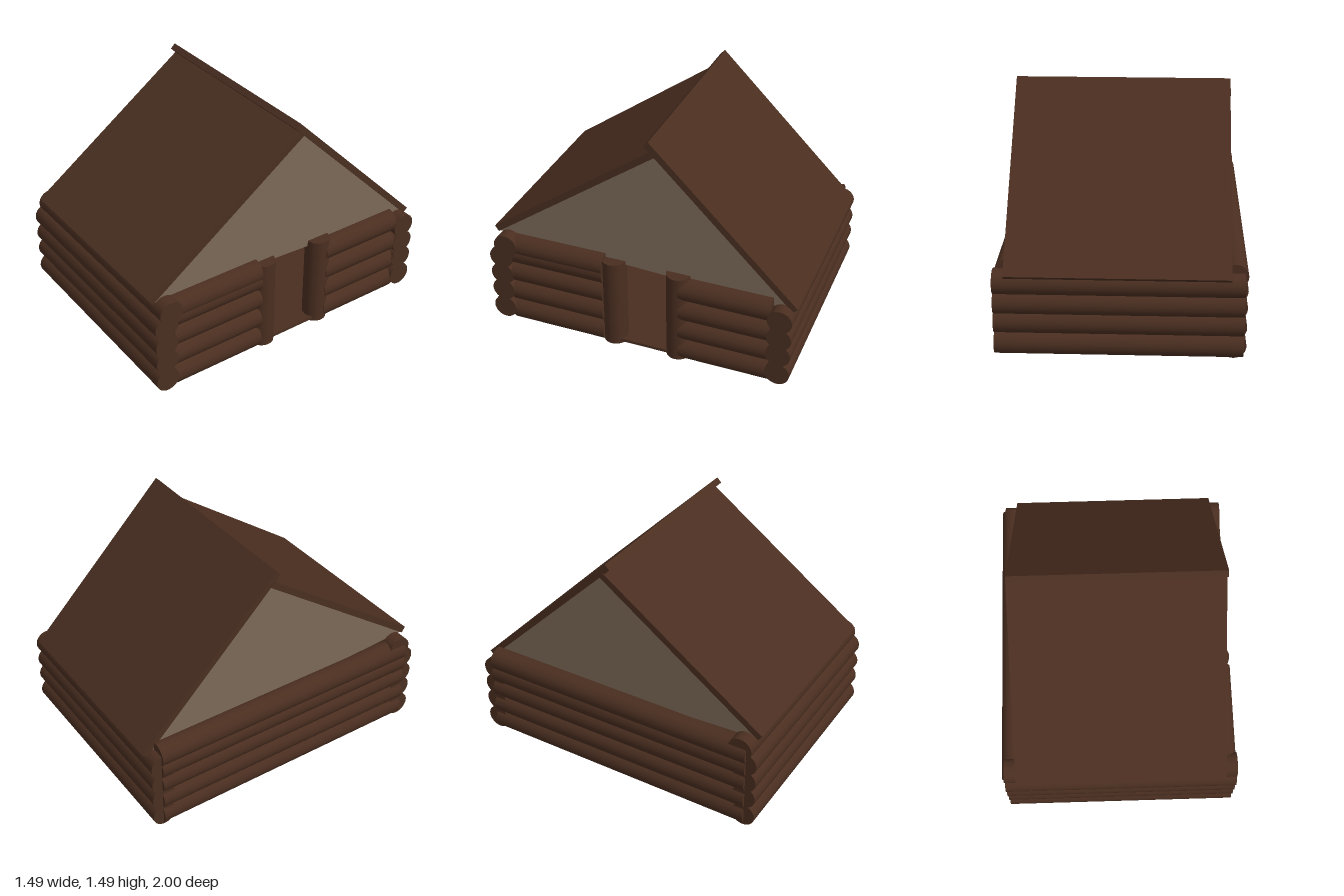
import * as THREE from 'three';

const wood = new THREE.MeshStandardMaterial({ color: 0x4a2e20 });
const plaster = new THREE.MeshStandardMaterial({ color: 0x7d6a58, side: THREE.DoubleSide });
const R = 0.077;

export function createModel() {
  const cabin = new THREE.Group();
  cabin.name = 'logCabin';

  const add = (parent, name, geometry, material = wood) => {
    const mesh = new THREE.Mesh(geometry, material);
    mesh.name = name;
    parent.add(mesh);
    return mesh;
  };
  const wall = (name) => {
    const group = new THREE.Group();
    group.name = name;
    cabin.add(group);
    return group;
  };
  // Log along x
  const logX = (parent, x0, x1, y, z) => {
    const g = new THREE.CylinderGeometry(R, R, x1 - x0, 32).rotateZ(Math.PI / 2);
    add(parent, 'log', g).position.set((x0 + x1) / 2, y, z);
  };
  // Log along z
  const logZ = (parent, z0, z1, y, x) => {
    const g = new THREE.CylinderGeometry(R, R, z1 - z0, 32).rotateX(Math.PI / 2);
    add(parent, 'log', g).position.set(x, y, (z0 + z1) / 2);
  };
  // Profile of [z, y] points extruded from x0 to x1
  const extrudeX = (name, points, x0, x1, material) => {
    const shape = new THREE.Shape(points.map(([z, y]) => new THREE.Vector2(-z, y)));
    const g = new THREE.ExtrudeGeometry(shape, { depth: x1 - x0, bevelEnabled: false });
    g.rotateY(Math.PI / 2);
    add(cabin, name, g, material).position.x = x0;
  };

  // Front and back walls
  const front = wall('frontWall');
  const back = wall('backWall');
  for (const y of [0.1, 0.238, 0.36, 0.487]) {
    logX(front, -0.725, 0.745, y, 0.923);
    logX(back, -0.725, 0.745, y, -0.912);
  }
  logX(front, -0.725, 0.745, 0.578, 0.887);

  // Closed side wall
  const closed = wall('rightWall');
  for (const y of [0.088, 0.21, 0.337, 0.45, 0.54]) logZ(closed, -0.92, 0.93, y, -0.668);

  // Side wall with the doorway
  const doorWall = wall('leftWall');
  for (const y of [0.077, 0.225, 0.37, 0.51, 0.565]) logZ(doorWall, 0.23, 0.86, y, 0.667);
  for (const y of [0.077, 0.225, 0.37, 0.52]) logZ(doorWall, -0.85, -0.27, y, 0.667);

  // Door posts
  for (const z of [0.175, -0.25]) {
    add(doorWall, 'doorPost', new THREE.CylinderGeometry(R, R, 0.605, 32)).position.set(0.663, 0.3125, z);
  }

  // Floor
  add(cabin, 'floor', new THREE.BoxGeometry(1.385, 0.02, 1.84)).position.set(0.0225, 0.035, 0);

  // Gable block under the roof
  extrudeX('gable', [[0.962, 0.635], [-0.962, 0.535], [-0.108, 1.397]], -0.643, 0.664, plaster);

  // Roof slabs, the rear one passing over the ridge
  extrudeX('frontRoof', [[0.99, 0.665], [0.965, 0.63], [-0.108, 1.392], [-0.083, 1.425]], -0.65, 0.67);
  extrudeX('backRoof', [[-0.037, 1.455], [-0.97, 0.528], [-1, 0.555], [-0.067, 1.485]], -0.645, 0.675);

  return cabin;
}
